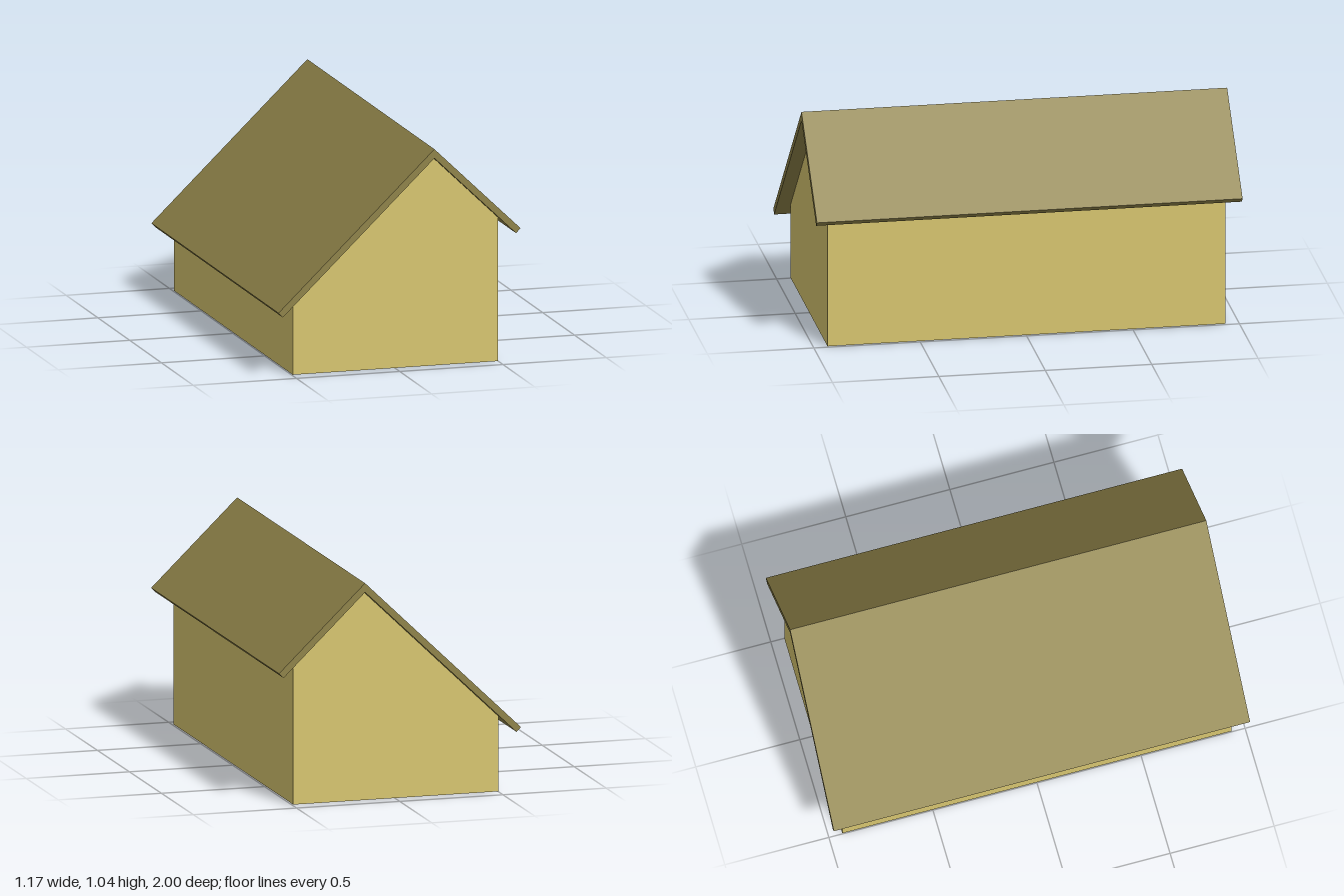
import * as THREE from 'three';

const material = (color) => new THREE.MeshStandardMaterial({ color, flatShading: true });

// Extrudes an x/y outline along z, centred on z = 0
function prism(name, outline, length, mat) {
  const shape = new THREE.Shape(outline.map(([x, y]) => new THREE.Vector2(x, y)));
  const geometry = new THREE.ExtrudeGeometry(shape, { depth: length, bevelEnabled: false });
  geometry.translate(0, 0, -length / 2);
  const mesh = new THREE.Mesh(geometry, mat);
  mesh.name = name;
  return mesh;
}

export function createModel() {
  const house = new THREE.Group();
  house.name = 'house';

  const wallMat = material(0xd8c670);
  const roofMat = material(0x8f8349);
  const floorMat = material(0x808080);

  const ridgeUnder = [0.168, 1.0];
  const ridgeTop = [0.168, 1.043];
  const bottom = 0.003;

  // Body with an off-centre gable
  house.add(prism('walls', [
    [-0.498, bottom], [0.496, bottom], [0.496, 0.684], ridgeUnder, [-0.498, 0.359],
  ], 1.87, wallMat));

  // Two roof slopes, mitred at the ridge and overhanging all round
  house.add(prism('longRoofSlope', [
    [-0.566, 0.293], ridgeUnder, ridgeTop, [-0.587, 0.315],
  ], 2, roofMat));
  house.add(prism('shortRoofSlope', [
    ridgeUnder, [0.563, 0.619], [0.585, 0.641], ridgeTop,
  ], 2, roofMat));

  // Floor slab set in from the wall edges
  const floor = new THREE.Mesh(new THREE.BoxGeometry(0.94, 0.02, 1.81), floorMat);
  floor.name = 'floor';
  floor.position.y = 0.01;
  house.add(floor);

  return house;
}
